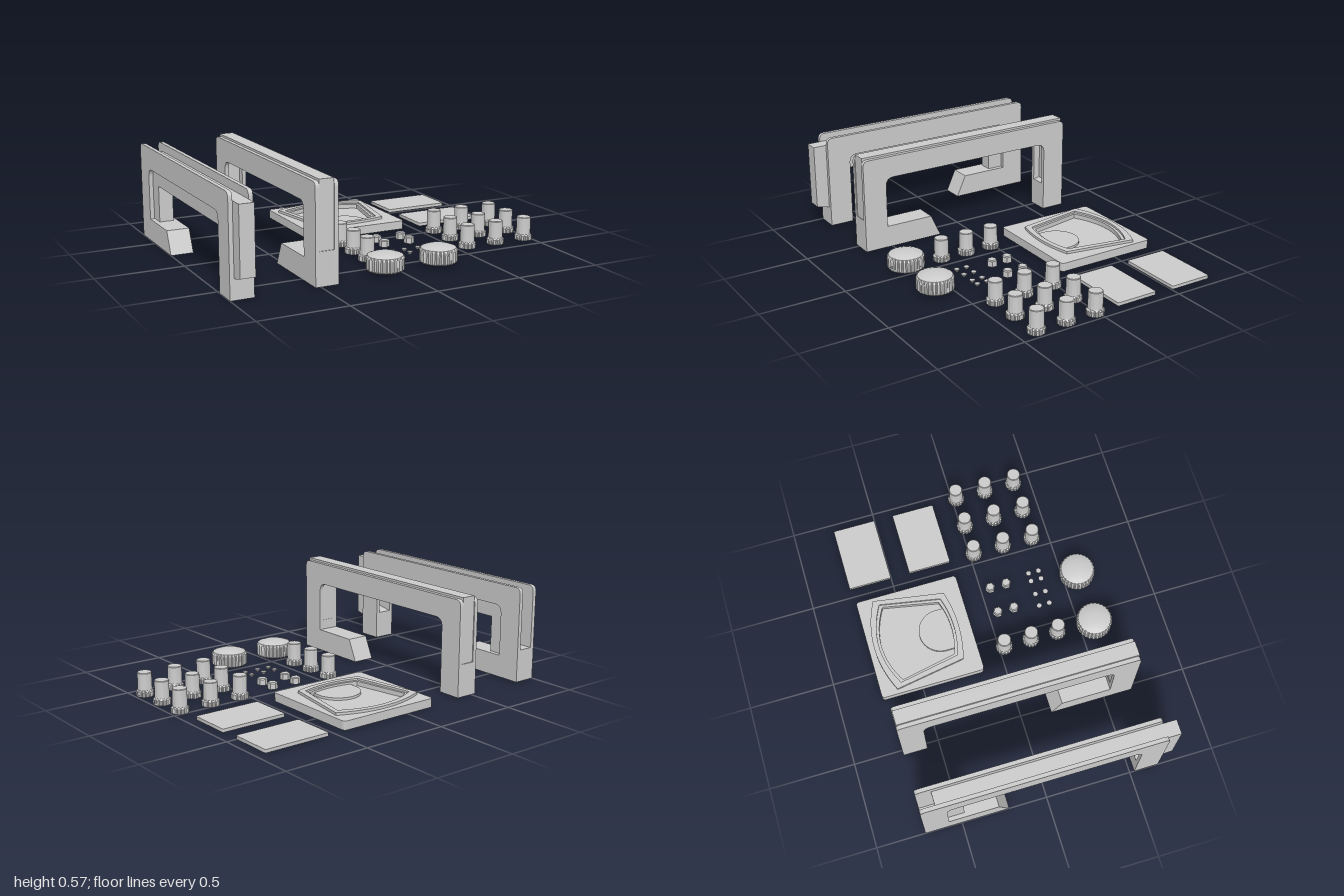
import * as THREE from 'three';
import { toCreasedNormals } from 'three/addons/utils/BufferGeometryUtils.js';

const material = new THREE.MeshStandardMaterial({ color: 0xcccccc });

function add(parent, name, geometry, x = 0, y = 0, z = 0) {
  const mesh = new THREE.Mesh(geometry, material);
  mesh.name = name;
  mesh.position.set(x, y, z);
  parent.add(mesh);
  return mesh;
}

const polygon = (pts) => new THREE.Shape(pts.map(([a, b]) => new THREE.Vector2(a, b)));

// Extrudes a side outline (z, y) along x, centred on x = 0
function sideExtrude(shape, width) {
  const g = new THREE.ExtrudeGeometry(shape, { depth: width, bevelEnabled: false, curveSegments: 8 });
  g.translate(0, 0, -width / 2).rotateY(-Math.PI / 2);
  return toCreasedNormals(g, 0.6);
}

// Extrudes a plan outline (x, z) upwards from y = 0
function planExtrude(shape, height, bevel = 0) {
  const g = new THREE.ExtrudeGeometry(shape, {
    depth: height - bevel, bevelEnabled: bevel > 0, bevelThickness: bevel, bevelSize: bevel,
    bevelOffset: -bevel, bevelSegments: 1, curveSegments: 20,
  });
  // Extrude runs along +z; turn it to +y, so plan z is the negated shape y
  return toCreasedNormals(g.rotateX(-Math.PI / 2), 0.5);
}

function roundedRect(w, d, r) {
  const s = new THREE.Shape();
  s.absarc(w / 2 - r, d / 2 - r, r, 0, Math.PI / 2);
  s.absarc(-w / 2 + r, d / 2 - r, r, Math.PI / 2, Math.PI);
  s.absarc(-w / 2 + r, -d / 2 + r, r, Math.PI, Math.PI * 1.5);
  s.absarc(w / 2 - r, -d / 2 + r, r, Math.PI * 1.5, Math.PI * 2);
  return s;
}

// Arch handle: two cheeks, solid feet between them, and a strip in the slot
function createHandle(name, stripY, stripZ, stripBottom, stripInner) {
  const handle = new THREE.Group();
  handle.name = name;
  const L = 0.6925, I = 0.55, H = 0.557, slot = 0.085, cheek = 0.0235;

  const s = new THREE.Shape();
  s.moveTo(-L, 0);
  s.lineTo(-0.2, 0);
  s.lineTo(-0.26, 0.13);
  s.lineTo(-I, 0.13);
  s.lineTo(-I, 0.38);
  s.quadraticCurveTo(-I, 0.43, -I + 0.05, 0.43);
  s.lineTo(I - 0.05, 0.43);
  s.quadraticCurveTo(I, 0.43, I, 0.38);
  s.lineTo(I, 0);
  s.lineTo(L, 0);
  s.lineTo(L, H - 0.035);
  s.quadraticCurveTo(L, H, L - 0.035, H);
  s.lineTo(-L + 0.035, H);
  s.quadraticCurveTo(-L, H, -L, H - 0.035);
  for (const side of [-1, 1]) {
    add(handle, 'handleCheek', sideExtrude(s, cheek), side * (slot + cheek) / 2);
  }

  const foot = polygon([[-L, 0], [-0.2, 0], [-0.26, 0.13], [-I, 0.13], [-I, 0.19], [-L, 0.19]]);
  add(handle, 'handleFootCore', sideExtrude(foot, slot));
  const leg = polygon([[I, 0], [L, 0], [L, 0.19], [I, 0.165]]);
  add(handle, 'handleLegCore', sideExtrude(leg, slot));

  const strip = polygon([
    [-0.688, 0.19], [stripInner, 0.19], [stripInner, stripBottom], [0.59, stripBottom],
    [0.59, 0.165], [0.688, 0.19], [0.688, 0.569], [-0.688, 0.569],
  ]);
  add(handle, 'slotStrip', sideExtrude(strip, slot - 0.002), 0, stripY, stripZ);
  return handle;
}

// Lathed cap with grooves cut around the vertices beyond grooveRadius
function flutedCap(profile, grooveRadius, flutes, depth) {
  const g = new THREE.LatheGeometry(profile.map(([r, y]) => new THREE.Vector2(r, y)), flutes * 4);
  const p = g.attributes.position;
  for (let i = 0; i < p.count; i++) {
    const x = p.getX(i), z = p.getZ(i), r = Math.hypot(x, z);
    if (r < grooveRadius) continue;
    const k = 1 - depth * Math.max(0, Math.cos(flutes * Math.atan2(x, z)));
    p.setX(i, x * k);
    p.setZ(i, z * k);
  }
  return toCreasedNormals(g, 0.5);
}

// Fan-shaped window outline, shrunk by an inset
function fan(inset, Type = THREE.Shape) {
  const s = new Type();
  const top = 0.285 - inset * 1.1, bottom = 0.215 - inset;
  s.moveTo(-bottom, -0.21 + inset);
  s.quadraticCurveTo(0, -0.27 + inset, bottom, -0.21 + inset);
  s.lineTo(top, 0.21 - inset);
  s.quadraticCurveTo(0, 0.345 - inset, -top, 0.21 - inset);
  s.closePath();
  return s;
}

function createMeter() {
  const meter = new THREE.Group();
  meter.name = 'meterPanel';
  const plate = roundedRect(0.62, 0.62, 0.02);
  add(meter, 'meterBase', planExtrude(plate, 0.028));
  const face = roundedRect(0.62, 0.62, 0.02);
  face.holes.push(fan(0.03, THREE.Path));
  add(meter, 'meterFace', planExtrude(face, 0.022), 0, 0.028);
  const rim = fan(0);
  rim.holes.push(fan(0.03, THREE.Path));
  add(meter, 'meterRim', planExtrude(rim, 0.015), 0, 0.05);
  const innerRim = fan(0.028);
  innerRim.holes.push(fan(0.045, THREE.Path));
  add(meter, 'meterInnerRim', planExtrude(innerRim, 0.026), 0, 0.028);
  // Half-round needle cover at the bottom of the window
  const hub = new THREE.Shape();
  hub.moveTo(-0.13, -0.205);
  hub.lineTo(0.13, -0.205);
  hub.lineTo(0.13, -0.13);
  hub.absarc(0, -0.13, 0.13, 0, Math.PI);
  hub.closePath();
  add(meter, 'needleCover', planExtrude(hub, 0.014), 0, 0.028);
  return meter;
}

export function createModel() {
  const model = new THREE.Group();
  model.name = 'equipmentPanelParts';

  // Handles: one with its strip pulled out, one turned round with it fitted
  const openHandle = createHandle('openHandle', -0.058, 0.083, 0.4, -0.537);
  openHandle.position.set(-0.934, 0, -0.0225);
  const fittedHandle = createHandle('fittedHandle', 0, 0, 0.428, -0.552);
  fittedHandle.position.set(-0.464, 0, -0.0225);
  fittedHandle.rotation.y = Math.PI;
  model.add(openHandle, fittedHandle);

  const meter = createMeter();
  meter.position.set(0.13, 0.003, -0.435);
  model.add(meter);

  // Thin cover plates
  for (const z of [-0.63, -0.257]) {
    add(model, 'coverPlate', planExtrude(roundedRect(0.395, 0.257, 0.008), 0.019), 0.748, 0.004, z);
  }

  // Small knobs: hollow stem with a fluted collar
  const knob = flutedCap([
    [0, 0.06], [0.034, 0.06], [0.034, 0], [0.049, 0], [0.05, 0.005], [0.05, 0.028],
    [0.041, 0.038], [0.04, 0.134], [0.037, 0.137], [0, 0.137],
  ], 0.045, 14, 0.1);
  for (const z of [0.03, 0.195, 0.36]) add(model, 'smallKnob', knob, -0.068, 0.004, z);
  for (const x of [0.56, 0.752, 0.947]) {
    for (const z of [0.025, 0.21, 0.395]) add(model, 'smallKnob', knob, x, 0.004, z);
  }

  // Large tuning knobs: hollow with a fluted skirt and a shallow dome
  const dial = flutedCap([
    [0, 0.07], [0.085, 0.07], [0.085, 0], [0.1, 0], [0.106, 0.008], [0.106, 0.068],
    [0.098, 0.08], [0.084, 0.085], [0.06, 0.093], [0.03, 0.097], [0, 0.098],
  ], 0.09, 28, 0.04);
  for (const x of [-0.078, 0.253]) add(model, 'largeKnob', dial, x, 0.015, 0.585);

  // Hexagonal nuts with a shallow chamfered top
  const nut = new THREE.LatheGeometry([
    [0, 0], [0.03, 0], [0.03, 0.034], [0.024, 0.04], [0, 0.04],
  ].map(([r, y]) => new THREE.Vector2(r, y)), 6);
  const nutGeometry = toCreasedNormals(nut, 0.3);
  for (const x of [0.152, 0.314]) {
    for (const z of [0.057, 0.157]) add(model, 'hexNut', nutGeometry, x, 0.003, z);
  }

  // Tiny countersunk screws, points down
  const screw = toCreasedNormals(new THREE.LatheGeometry([
    [0, 0], [0.006, 0.002], [0.016, 0.015], [0.016, 0.019], [0, 0.02],
  ].map(([r, y]) => new THREE.Vector2(r, y)), 16), 0.5);
  for (const x of [0.12, 0.198, 0.285, 0.338]) {
    for (const z of [0.307, 0.37]) add(model, 'screw', screw, x, 0.003, z);
  }

  return model;
}
